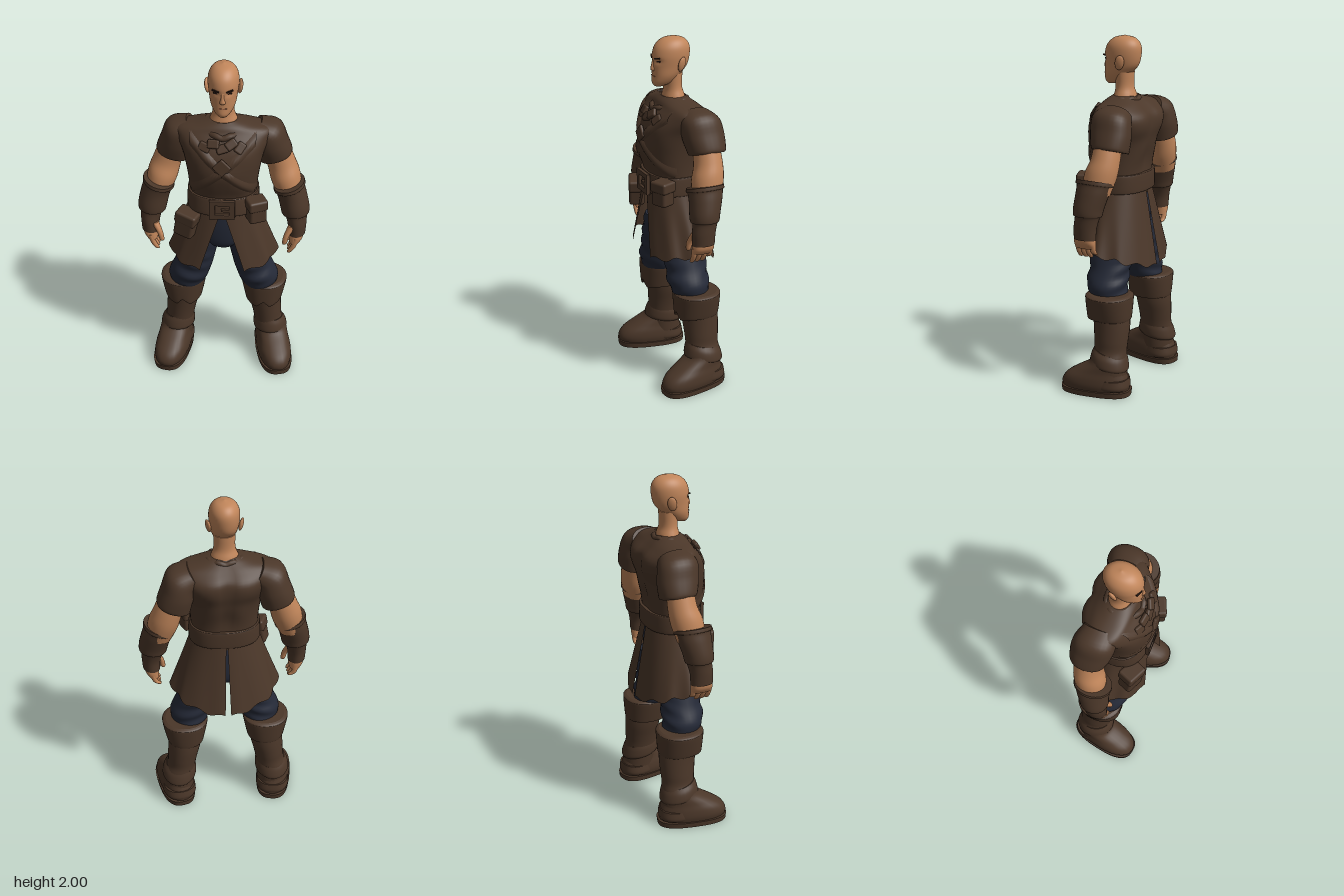
import * as THREE from 'three';
import { ParametricGeometry } from 'three/addons/geometries/ParametricGeometry.js';
import { RoundedBoxGeometry } from 'three/addons/geometries/RoundedBoxGeometry.js';

const material = (name, color, side = THREE.FrontSide) => {
  const m = new THREE.MeshStandardMaterial({ color, side });
  m.name = name;
  return m;
};

// Smooth body through rings [x, y, z, radiusX, radiusZ, tilt], listed from bottom to top
function loft(rings, { n = 28, p = 2, steps = 5, shape = null } = {}) {
  const centres = new THREE.CatmullRomCurve3(rings.map(r => new THREE.Vector3(r[0], r[1], r[2])), false, 'catmullrom');
  const sizes = new THREE.CatmullRomCurve3(rings.map(r => new THREE.Vector3(r[3], r[4], r[5] || 0)), false, 'catmullrom');
  const rows = (rings.length - 1) * steps, pos = [], idx = [];
  const sup = c => Math.sign(c) * Math.pow(Math.abs(c), 2 / p);
  for (let i = 0; i <= rows; i++) {
    const t = i / rows, c = centres.getPoint(t), s = sizes.getPoint(t);
    for (let j = 0; j < n; j++) {
      const a = j / n * Math.PI * 2, dx = s.x * sup(Math.cos(a));
      const v = new THREE.Vector3(c.x + dx * Math.cos(s.z), c.y + dx * Math.sin(s.z), c.z + s.y * sup(Math.sin(a)));
      if (shape) shape(v, a, t);
      pos.push(v.x, v.y, v.z);
      if (i < rows) {
        const A = i * n + j, B = i * n + (j + 1) % n;
        idx.push(A, A + n, B, B, A + n, B + n);
      }
    }
  }
  // End caps with their own vertices, so rims stay sharp
  for (const [row, up] of [[0, false], [rows, true]]) {
    const base = pos.length / 3, mid = new THREE.Vector3();
    for (let j = 0; j < n; j++) {
      const v = new THREE.Vector3().fromArray(pos, (row * n + j) * 3);
      mid.addScaledVector(v, 1 / n);
      pos.push(v.x, v.y, v.z);
    }
    pos.push(mid.x, mid.y, mid.z);
    for (let j = 0; j < n; j++) {
      const A = base + j, B = base + (j + 1) % n;
      idx.push(base + n, up ? B : A, up ? A : B);
    }
  }
  const g = new THREE.BufferGeometry();
  g.setAttribute('position', new THREE.Float32BufferAttribute(pos, 3));
  g.setIndex(idx);
  g.computeVertexNormals();
  return g;
}

// Mirrored copy of a mesh across x = 0
function mirrored(mesh) {
  mesh.updateMatrix();
  const g = mesh.geometry.clone().applyMatrix4(mesh.matrix).applyMatrix4(new THREE.Matrix4().makeScale(-1, 1, 1));
  if (!g.index) g.setIndex([...Array(g.attributes.position.count).keys()]);
  const k = g.index.array;
  for (let i = 0; i < k.length; i += 3) [k[i + 1], k[i + 2]] = [k[i + 2], k[i + 1]];
  const copy = new THREE.Mesh(g, mesh.material);
  copy.name = mesh.name.replace('left', 'right');
  return copy;
}

export function createModel() {
  const root = new THREE.Group();
  root.name = 'adventurer';
  const skin = material('skin', 0xc0855a);
  const leather = material('brown leather', 0x4b3729, THREE.DoubleSide);
  const cloth = material('navy cloth', 0x252a38);
  const dark = material('dark brow', 0x24160f);
  const lip = material('lip', 0x965f42);

  const add = (name, geometry, mat, x = 0, y = 0, z = 0, rx = 0, ry = 0, rz = 0) => {
    const m = new THREE.Mesh(geometry, mat);
    m.name = name;
    m.position.set(x, y, z);
    m.rotation.set(rx, ry, rz);
    root.add(m);
    return m;
  };
  const pair = (name, ...rest) => root.add(mirrored(add('left ' + name, ...rest)));

  // Head and neck
  add('head', loft([
    [0, 1.73, .085, .022, .026], [0, 1.75, .062, .046, .062], [0, 1.79, .043, .067, .079],
    [0, 1.84, .022, .077, .1], [0, 1.9, .014, .084, .107], [0, 1.95, .008, .077, .097],
    [0, 1.985, .004, .05, .062], [0, 2, .003, .003, .003]], {
    shape: (v, a) => { // eye sockets
      const d = Math.hypot((Math.abs(v.x) - .036) / .02, (v.y - 1.872) / .014);
      if (Math.sin(a) > 0) v.z -= .009 * Math.exp(-d * d);
    }, n: 40, steps: 7 }), skin);
  add('neck', loft([[0, 1.6, 0, .1, .08], [0, 1.67, 0, .075, .062], [0, 1.72, .003, .059, .05], [0, 1.8, .005, .06, .055]]), skin);
  add('nose', loft([[0, 1.815, .112, .013, .012], [0, 1.825, .116, .017, .018], [0, 1.85, .116, .01, .014], [0, 1.89, .112, .008, .008]], { n: 12 }), skin);
  add('mouth', new THREE.BoxGeometry(.045, .006, .008), lip, 0, 1.788, .118);
  pair('ear', new THREE.SphereGeometry(1, 14, 10).scale(.012, .042, .026), skin, .088, 1.858, -.012, -.15, .4, -.15);
  pair('eyebrow', new THREE.BoxGeometry(.04, .008, .008), dark, .037, 1.889, .112, 0, .3, .2);
  pair('eye', new THREE.BoxGeometry(.028, .008, .006), dark, .036, 1.872, .104, 0, .3, .08);

  // Tunic body with a groove down the spine and loose cross folds
  const torso = [
    [0, 1.12, .02, .185, .148], [0, 1.22, .012, .188, .142], [0, 1.32, .02, .195, .16],
    [0, 1.42, .016, .21, .18], [0, 1.5, -.002, .23, .185], [0, 1.57, -.015, .262, .16],
    [0, 1.62, -.01, .255, .115], [0, 1.65, 0, .15, .088], [0, 1.67, .003, .08, .062]];
  add('tunic', loft(torso, {
    p: 2.3, n: 48, shape: (v, a, t) => {
      const s = Math.sin(a), mid = Math.sin(Math.PI * t);
      if (s < 0) v.z += .018 * mid * Math.exp(-((v.x / .04) ** 2));
      v.z += .004 * mid * s * Math.sin(28 * (v.y + Math.abs(v.x) * .7));
    } }), leather);
  const front = (x, y) => {
    const i = Math.max(0, torso.findIndex(r => r[1] > y) - 1), f = (y - torso[i][1]) / (torso[i + 1][1] - torso[i][1]);
    const [, , z, rx, rz] = torso[i].map((k, q) => k + (torso[i + 1][q] - k) * f);
    return z + rz * Math.pow(Math.max(0, 1 - Math.abs(x / rx) ** 2.3), 1 / 2.3);
  };

  // Crossed chest wraps, pendant clasp and gathered scarf
  pair('chest wrap', new ParametricGeometry((u, v, p) => {
    const x = .18 - .37 * u, y = 1.6 - .33 * u + (v - .5) * .07;
    p.set(x, y, front(x, y) + .004 + .011 * Math.sin(Math.PI * v));
  }, 24, 5), leather);
  add('chest clasp', new RoundedBoxGeometry(.075, .075, .02, 2, .008), leather, 0, 1.47, .198, -.1, 0, Math.PI / 4);
  const scarf = [];
  for (let i = 0; i < 16; i++) {
    const a = i / 16 * Math.PI * 2, s = Math.sin(a);
    scarf.push(new THREE.Vector3(.095 * Math.cos(a), 1.645 - .04 * Math.max(0, s) + (i % 2) * .008, .005 + s * (s > 0 ? .115 : .075)));
  }
  add('collar', new THREE.TubeGeometry(new THREE.CatmullRomCurve3(scarf, true), 48, .017, 8, true), leather);
  for (let i = 0; i < 5; i++) {
    add('scarf fold', new RoundedBoxGeometry(.065, .05, .025, 2, .01), leather,
      (i - 2) * .048, 1.565 + (i % 2) * .025, .158 - Math.abs(i - 2) * .008, -.5, (i - 2) * .12, (i - 2) * .35 + .3);
  }

  // Sleeves
  pair('sleeve', loft([
    [.285, 1.405, -.07, .094, .1, .28], [.283, 1.425, -.068, .097, .106, .29], [.262, 1.49, -.06, .094, .116, .38],
    [.235, 1.56, -.05, .092, .113, .62], [.17, 1.585, -.04, .07, .095, 1]], { p: 2.2 }), leather);

  // Arms, bracers and hands
  pair('arm', loft([
    [.375, 1.18, -.03, .07, .08, .25], [.346, 1.28, -.045, .085, .09, .32],
    [.32, 1.36, -.06, .08, .08, .3], [.285, 1.46, -.06, .075, .075, .3]]), skin);
  pair('bracer', loft([
    [.42, .935, .012, .05, .064, .1], [.42, 1, .01, .054, .066, .1], [.412, 1.06, 0, .064, .07, .1], [.409, 1.07, 0, .078, .08, .1],
    [.403, 1.11, -.003, .082, .085, .15], [.386, 1.18, -.015, .082, .093, .2], [.37, 1.225, -.02, .084, .1, .26],
    [.369, 1.23, -.02, .092, .107, .27], [.366, 1.25, -.02, .09, .106, .28]]), leather);
  pair('palm', loft([[.408, .885, .015, .03, .06], [.418, .92, .013, .04, .062], [.42, .97, .01, .042, .056]], { p: 2.5 }), skin);
  for (let k = 0; k < 4; k++) {
    const z = -.032 + k * .031, d = k === 0 ? .018 : 0;
    pair('finger', loft([
      [.376, .822 + d, z, .004, .004], [.381, .829 + d, z, .013, .013], [.403, .865, z, .016, .016], [.418, .92, z, .017, .017]],
    { n: 10, steps: 3 }), skin);
  }
  pair('thumb', loft([
    [.349, .885, .07, .004, .004], [.352, .893, .07, .014, .014], [.362, .94, .066, .017, .018], [.392, 1, .045, .022, .024]],
  { n: 12, steps: 3 }), skin);

  // Belt, buckle and pouches
  add('belt', loft([[0, 1.14, .018, .196, .156], [0, 1.15, .018, .203, .163], [0, 1.235, .013, .2, .158], [0, 1.245, .013, .193, .151]],
    { p: 2.4, n: 40 }), leather);
  const frame = new THREE.Shape([[-.067, -.056], [.067, -.056], [.067, .056], [-.067, .056]].map(q => new THREE.Vector2(...q)));
  frame.holes.push(new THREE.Path([[-.043, -.034], [-.043, .034], [.043, .034], [.043, -.034]].map(q => new THREE.Vector2(...q))));
  add('buckle', new THREE.ExtrudeGeometry(frame, { depth: .014, bevelSize: .004, bevelThickness: .004, bevelSegments: 2 }), leather, 0, 1.188, .177);
  add('buckle pin', new THREE.BoxGeometry(.05, .014, .014), leather, .02, 1.188, .188);
  for (const [x, y, z, w, h, ry, rz] of [[.187, 1.175, .147, .1, .14, .4, 0], [-.2, 1.065, .14, .115, .155, -.4, -.18]]) {
    add('pouch', new RoundedBoxGeometry(w, h, .09, 3, .016), leather, x, y, z, 0, ry, rz);
    add('pouch flap', new RoundedBoxGeometry(w + .012, h * .45, .1, 3, .014), leather, x - Math.sin(rz) * h * .28, y + h * .28, z, 0, ry, rz);
  }

  // Split skirt, one pleated panel for each side
  pair('skirt panel', new ParametricGeometry((u, v, p) => {
    const rx = .19 + .12 * v, rz = .15 + .068 * v, gap = Math.asin((.008 + .122 * v) / rx);
    const slit = Math.asin((.004 + .012 * v) / rx), a = gap + (Math.PI - slit - gap) * u;
    const pleat = 1 + .035 * v * Math.sin(a * 9), hem = .765 + .05 * Math.sin(a) ** 2 - .055 * u * u + .01 * Math.sin(u * 34);
    p.set(rx * pleat * Math.sin(a), 1.16 + (hem - 1.16) * v, .016 - .014 * v + rz * (u > .5 || u < .2 ? 1 : pleat) * Math.cos(a));
  }, 48, 16), leather);

  // Trousers
  add('trouser seat', loft([[0, .875, 0, .1, .11], [0, .92, 0, .17, .128], [0, 1.02, .004, .19, .135], [0, 1.14, .01, .18, .13]]), cloth);
  pair('trouser leg', loft([
    [.225, .52, -.02, .085, .09], [.212, .57, -.012, .105, .105], [.203, .63, 0, .118, .118], [.172, .71, 0, .112, .118],
    [.146, .8, 0, .106, .126], [.105, .94, 0, .1, .125]], {
    shape: (v, a) => { v.z += .005 * Math.sin(a) * Math.sin(v.y * 75 + a * 2); } }), cloth);

  // Boots: folded cuff with a front notch, shaft, ankle folds, foot and sole
  pair('boot cuff', loft([
    [.238, .435, -.035, .106, .122], [.24, .45, -.035, .112, .128], [.24, .555, -.035, .133, .134],
    [.24, .572, -.035, .13, .13], [.238, .58, -.035, .115, .115]], {
    n: 40, p: 2.2, shape: (v, a, t) => {
      const s = Math.max(0, Math.sin(a));
      v.y += Math.max(0, 1 - t * 2) * (.055 * s ** 60 - .02 * s ** 4);
    } }), leather);
  pair('boot shaft', loft([
    [.285, .1, -.065, .09, .1], [.282, .2, -.06, .092, .1], [.268, .26, -.058, .085, .096],
    [.26, .32, -.058, .089, .1], [.248, .4, -.055, .096, .106], [.24, .5, -.045, .1, .11]]), leather);
  pair('ankle fold', loft([
    [.287, .165, -.06, .094, .108], [.285, .18, -.06, .102, .114], [.28, .22, -.06, .098, .106], [.273, .25, -.06, .086, .096]], {
    shape: (v, a) => { v.y += .02 * Math.sin(a); } }), leather);
  pair('boot foot', loft([
    [0, .02, 0, .093, .196], [0, .06, 0, .102, .2], [0, .1, -.008, .1, .182],
    [0, .14, -.032, .092, .145], [0, .18, -.066, .088, .11], [0, .21, -.076, .082, .095]], { p: 2.3 }), leather, .308, 0, .016, 0, .2);
  pair('boot sole', loft([[0, 0, 0, .1, .203], [0, .032, 0, .104, .206]], { p: 2.7, steps: 1, n: 36 }), leather, .308, 0, .013, 0, .2);
  pair('boot heel strap', loft([[0, .04, -.09, .093, .107], [0, .06, -.09, .1, .111], [0, .1, -.09, .095, .104]], { p: 2.4 }), leather, .308, 0, .016, 0, .2);
  return root;
}
